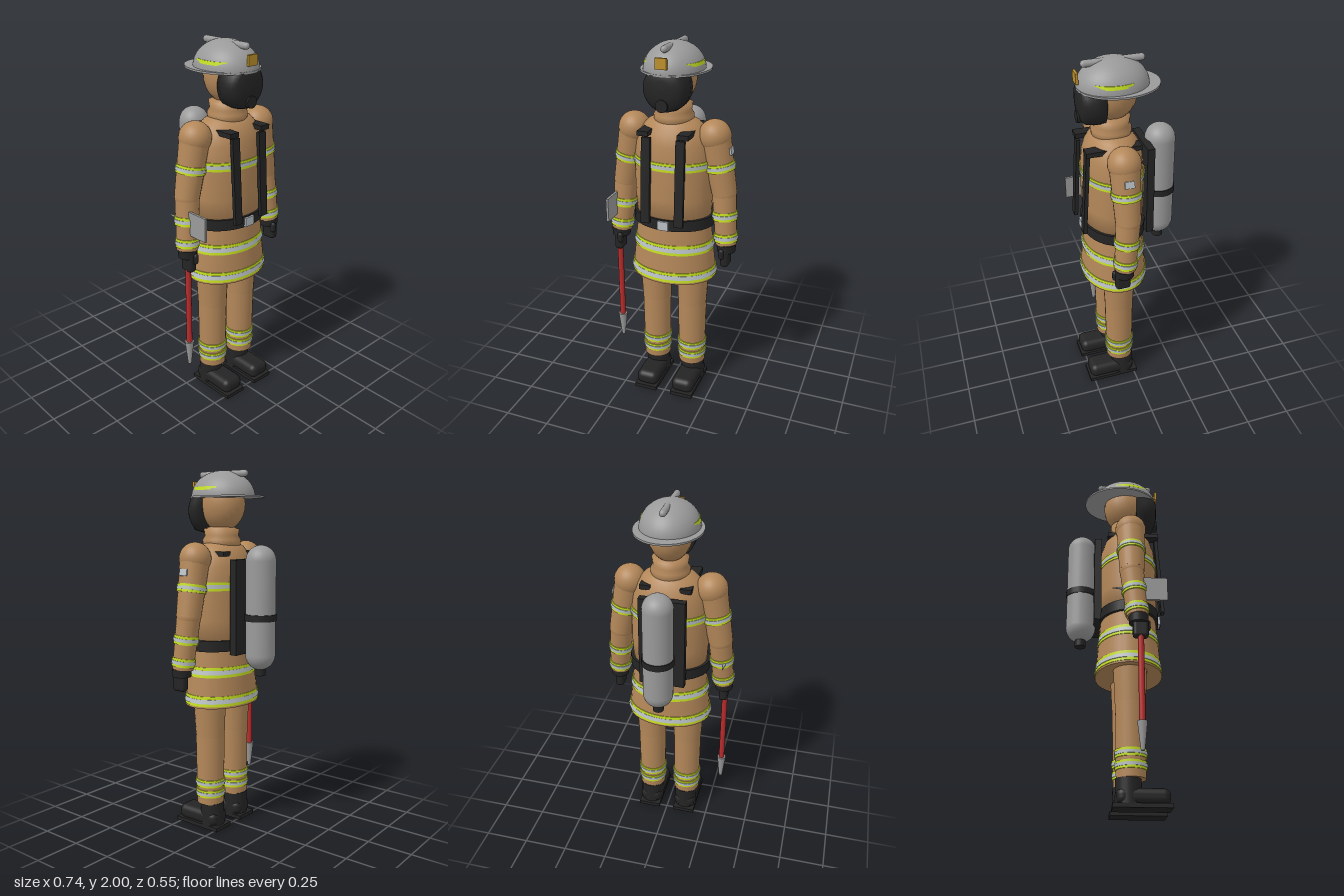
import * as THREE from 'three';
import { RoundedBoxGeometry } from 'three/addons/geometries/RoundedBoxGeometry.js';

const CZ = 0.076; // depth of the body axis

export function createModel() {
  const root = new THREE.Group();
  root.name = 'firefighter';
  const mat = (name, color) => {
    const m = new THREE.MeshStandardMaterial({ color });
    m.name = name;
    return m;
  };
  const tan = mat('tan cloth', 0xb38759), black = mat('black', 0x242424);
  const grey = mat('helmet grey', 0x9a9a9a), silver = mat('reflective silver', 0xb9c0c4);
  const yellow = mat('reflective yellow', 0xc6e021), red = mat('red handle', 0xb82c2c);
  const gold = mat('gold', 0xbd902c);

  const add = (name, geo, m, x = 0, y = 0, z = 0, parent = root) => {
    const mesh = new THREE.Mesh(geo, m);
    mesh.name = name;
    mesh.position.set(x, y, z);
    parent.add(mesh);
    return mesh;
  };
  const box = (w, h, d) => new THREE.BoxGeometry(w, h, d);
  const ball = (r) => new THREE.SphereGeometry(r, 24, 16);
  const cyl = (rt, rb, h, n = 24) => new THREE.CylinderGeometry(rt, rb, h, n);
  const lathe = (pts, n = 32) => new THREE.LatheGeometry(pts.map(p => new THREE.Vector2(...p)), n);

  // Tapered tube between two points
  const UP = new THREE.Vector3(0, 1, 0);
  const limb = (name, a, b, ra, rb, m, parent) => {
    const d = a.clone().sub(b);
    const mid = a.clone().add(b).multiplyScalar(0.5);
    const mesh = add(name, cyl(ra, rb, d.length()), m, mid.x, mid.y, mid.z, parent);
    mesh.quaternion.setFromUnitVectors(UP, d.normalize());
    return mesh;
  };
  // Yellow band with a silver centre, at height y along a limb
  const limbBand = (a, b, ra, rb, y, h, parent) => {
    const at = (yy) => a.clone().lerp(b, (a.y - yy) / (a.y - b.y));
    const r = ra + (rb - ra) * (a.y - y) / (a.y - b.y);
    limb('yellowBand', at(y + h / 2), at(y - h / 2), r + 0.005, r + 0.005, yellow, parent);
    limb('silverBand', at(y + h / 5), at(y - h / 5), r + 0.008, r + 0.008, silver, parent);
  };

  // Coat: jacket, skirt, collar
  const DEPTH = 0.76;
  const flat = (name, geo, m, y = 0) => {
    const mesh = add(name, geo, m, 0, y, CZ);
    mesh.scale.z = DEPTH;
    return mesh;
  };
  flat('jacket', lathe([[0, 1.03], [0.205, 1.03], [0.214, 1.2], [0.214, 1.4], [0.202, 1.49],
    [0.18, 1.55], [0.14, 1.595], [0.09, 1.62], [0, 1.625]]), tan);
  const skirtR = (y) => 0.24 - (y - 0.725) * 0.11;
  flat('skirt', cyl(skirtR(1.05), 0.24, 0.325, 32), tan, 0.8875);
  const bodyBand = (y, h, rt, rb) => {
    flat('yellowBand', cyl(rt + 0.004, rb + 0.004, h, 32), yellow, y);
    flat('silverBand', cyl(rt + 0.007, rb + 0.007, h * 0.42, 32), silver, y);
  };
  bodyBand(1.387, 0.046, 0.214, 0.214);
  bodyBand(0.922, 0.056, skirtR(0.95), skirtR(0.894));
  bodyBand(0.764, 0.056, skirtR(0.792), skirtR(0.736));
  add('collar', lathe([[0.09, 1.57], [0.104, 1.605], [0.105, 1.63], [0.092, 1.652],
    [0.098, 1.69], [0.06, 1.7]]), tan, 0, 0, CZ);
  flat('belt', cyl(0.224, 0.224, 0.06, 32), black, 1.067);
  add('buckle', box(0.06, 0.05, 0.02), silver, 0, 1.067, 0.247);

  // Head and breathing mask
  add('head', ball(1), tan, 0, 1.82, 0.07).scale.set(0.115, 0.145, 0.13);
  const mask = lathe([[0, 0], [1, 0], [1, 0.4], [0.93, 0.75], [0.74, 0.93], [0.4, 0.99], [0, 1]]);
  mask.rotateX(Math.PI / 2);
  add('mask', mask, black, 0, 1.785, 0.125).scale.set(0.118, 0.122, 0.125);
  const regulator = add('regulator', cyl(0.032, 0.032, 0.04), black, 0, 1.71, 0.235);
  regulator.rotation.x = Math.PI / 2;

  // Helmet
  const dome = new THREE.SphereGeometry(1, 32, 12, 0, Math.PI * 2, 0, Math.PI / 2);
  add('helmetDome', dome, grey, 0, 1.857, 0.065).scale.set(0.157, 0.141, 0.184);
  add('helmetBrim', cyl(1, 1, 0.01, 40), grey, 0, 1.857, 0.037).scale.set(0.18, 1, 0.213);
  const ridge = new THREE.CapsuleGeometry(0.018, 0.289, 6, 16);
  ridge.rotateX(Math.PI / 2);
  add('helmetRidge', ridge, grey, 0, 1.978, 0.0625);
  add('helmetStripe', cyl(0.149, 0.153, 0.018, 32), yellow, 0, 1.9, 0.068).scale.z = 1.1;
  add('helmetBadge', box(0.06, 0.055, 0.014), gold, 0, 1.917, 0.25);

  for (const s of [-1, 1]) {
    const side = new THREE.Group();
    side.name = s > 0 ? 'leftSide' : 'rightSide';
    root.add(side);
    const V = (x, y, z) => new THREE.Vector3(s * x, y, z);
    const part = (name, geo, m, x, y, z) => add(name, geo, m, s * x, y, z, side);

    // Arm
    const S = V(0.225, 1.535, 0.077), E = V(0.28, 1.235, 0.076), W = V(0.305, 0.95, 0.1);
    part('shoulder', ball(0.086), tan, 0.222, 1.535, 0.077);
    limb('upperArm', S, E, 0.08, 0.067, tan, side);
    part('elbow', ball(0.067), tan, 0.28, 1.235, 0.076);
    limb('forearm', E, W, 0.065, 0.057, tan, side);
    limbBand(S, E, 0.08, 0.067, 1.378, 0.042, side);
    limbBand(E, W, 0.065, 0.057, 1.11, 0.046, side);
    limbBand(E, W, 0.065, 0.057, 0.99, 0.046, side);

    // Glove
    part('gloveCuff', cyl(0.052, 0.05, 0.045), black, 0.308, 0.932, 0.105);
    part('hand', new RoundedBoxGeometry(0.048, 0.12, 0.082, 3, 0.018), black, 0.309, 0.888, 0.115);
    part('thumb', new THREE.CapsuleGeometry(0.016, 0.03, 4, 10), black, 0.295, 0.905, 0.153);

    // Leg
    const H = V(0.11, 0.76, 0.076), K = V(0.108, 0.54, 0.076), A = V(0.108, 0.148, 0.076);
    limb('thigh', H, K, 0.091, 0.081, tan, side);
    part('knee', ball(0.081), tan, 0.108, 0.54, 0.076);
    limb('shin', K, A, 0.081, 0.076, tan, side);
    for (const y of [0.272, 0.211]) limbBand(K, A, 0.081, 0.076, y, 0.042, side);

    // Boot
    part('bootShaft', cyl(0.066, 0.068, 0.13), black, 0.108, 0.085, 0.062);
    part('bootFoot', new RoundedBoxGeometry(0.13, 0.085, 0.27, 4, 0.036), black, 0.108, 0.058, 0.133);
    part('bootSole', box(0.13, 0.022, 0.296), black, 0.109, 0.011, 0.128);

    // Harness straps
    part('chestStrap', box(0.048, 0.46, 0.02), black, 0.093, 1.308, 0.246).rotation.x = -0.065;
    part('shoulderStrap', box(0.06, 0.025, 0.29), black, 0.108, 1.558, 0.1);
  }
  add('armPatch', box(0.012, 0.036, 0.05), silver, 0.313, 1.467, 0.079).rotation.z = 0.2;

  // Air tank and back plate
  add('backPlate', box(0.25, 0.51, 0.04), black, 0, 1.275, -0.1);
  add('airTank', new THREE.CapsuleGeometry(0.082, 0.506, 10, 24), grey, 0, 1.27, -0.19);
  add('tankStrap', cyl(0.087, 0.087, 0.036), black, 0, 1.222, -0.19);
  add('tankValve', cyl(0.03, 0.03, 0.05, 16), black, 0, 0.928, -0.19);

  // Axe in the right hand
  const axe = new THREE.Group();
  axe.name = 'axe';
  axe.position.set(-0.315, 0, 0.115);
  root.add(axe);
  add('axeHandle', cyl(0.016, 0.016, 0.75, 12), red, 0, 0.755, 0, axe);
  add('axeSpike', cyl(0.026, 0.01, 0.145, 12), grey, 0, 0.312, 0, axe);
  add('axeBlade', box(0.013, 0.13, 0.145), grey, 0, 1.11, 0.0725, axe);
  const pick = cyl(0.002, 0.018, 0.145, 12);
  pick.rotateX(-Math.PI / 2);
  add('axePick', pick, grey, 0, 1.11, -0.0725, axe);

  return root;
}
